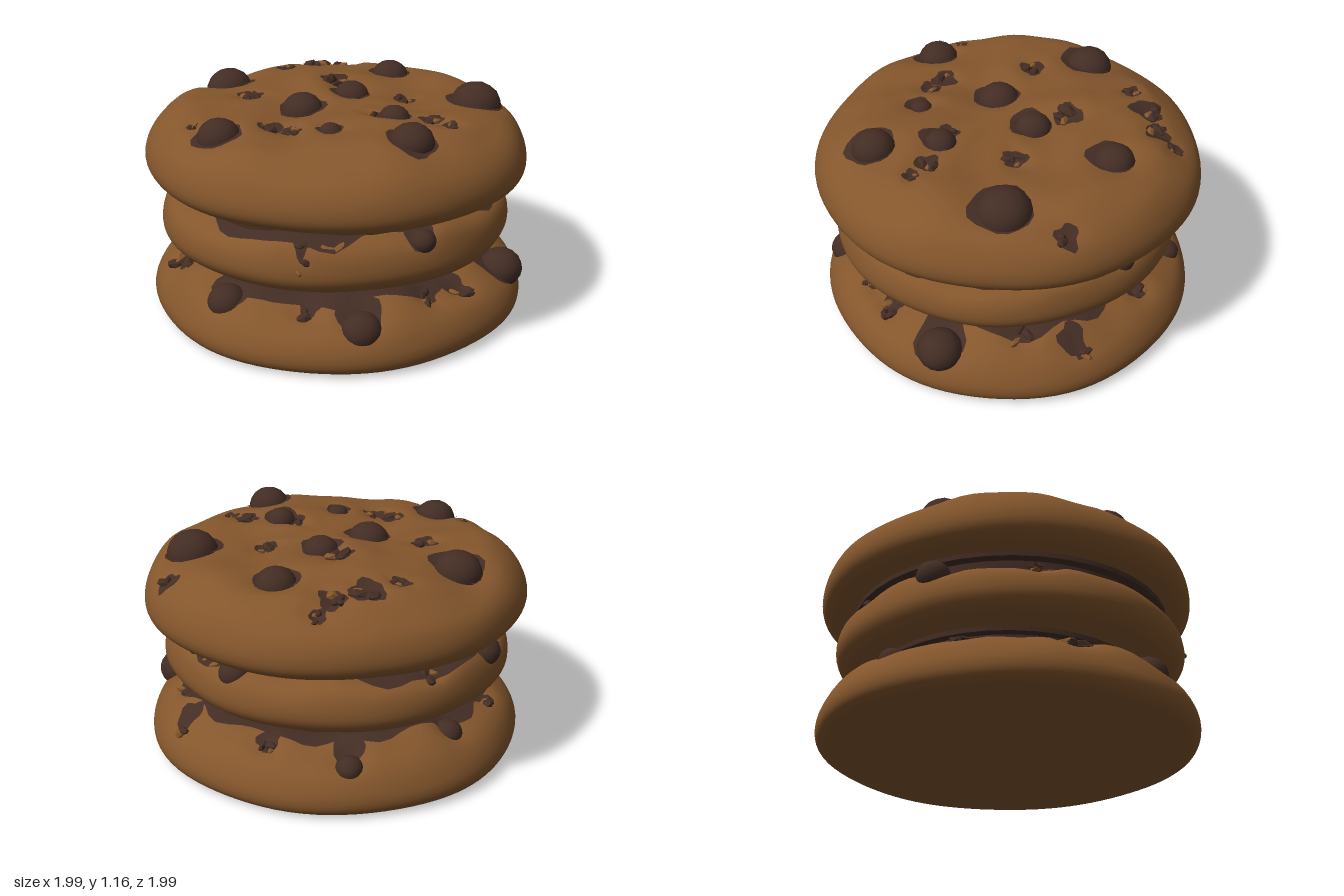
import * as THREE from 'three';
import { mergeVertices } from 'three/addons/utils/BufferGeometryUtils.js';

const dough = new THREE.MeshStandardMaterial({ color: 0x84562c });
dough.name = 'baked dough';
const chocolate = new THREE.MeshStandardMaterial({ color: 0x432d24 });
chocolate.name = 'dark chocolate';

function seeded(seed) {
  let s = seed;
  return () => ((s = (s * 16807) % 2147483647) / 2147483647);
}

function addMesh(parent, name, geometry, material) {
  const mesh = new THREE.Mesh(geometry, material);
  mesh.name = name;
  parent.add(mesh);
  return mesh;
}

// Round dough body: a turned profile with an uneven rim, a lumpy top and dents around the chips
function cookieBody(spec) {
  const curve = new THREE.SplineCurve(spec.profile.map(([r, y]) => new THREE.Vector2(r, y)));
  const points = curve.getPoints(52);
  points.forEach((p) => { p.x = Math.max(p.x, 0); p.y = Math.max(p.y, spec.bottom); });
  let g = new THREE.LatheGeometry(points, 88);
  g.deleteAttribute('uv');
  g.deleteAttribute('normal');
  g = mergeVertices(g, 1e-4);
  const p = g.attributes.position;
  const k = spec.phase;
  for (let i = 0; i < p.count; i++) {
    const x = p.getX(i), y = p.getY(i), z = p.getZ(i);
    const a = Math.atan2(x, z);
    const rim = 1 + 0.006 * Math.sin(3 * a + k) + 0.005 * Math.sin(7 * a + 2 * k);
    const up = THREE.MathUtils.smoothstep(y, spec.lumpStart, spec.lumpStart + 0.15);
    let dy = 0.014 * Math.sin(5.5 * x + 2.3 * z + k) + 0.014 * Math.sin(7 * z - 4 * x + 2 * k)
      + 0.01 * Math.sin(13 * x + 3 * k) * Math.sin(12 * z + k);
    for (const [cx, cz, r] of spec.chips.concat(spec.shards)) {
      const d2 = ((x - cx) ** 2 + (z - cz) ** 2) / (r * r);
      dy += 0.02 * Math.exp(-d2 / 5) - 0.05 * Math.exp(-d2 / 1.3);
    }
    p.setXYZ(i, x * rim, y + up * dy, z * rim + spec.shift);
  }
  g.computeVertexNormals();
  return g;
}

// Finds the top of a body under a point
function surfaceOf(body, fallback) {
  const ray = new THREE.Raycaster();
  const down = new THREE.Vector3(0, -1, 0);
  body.updateMatrixWorld(true);
  return (x, z) => {
    ray.set(new THREE.Vector3(x + 1e-4, 3, z + 2e-4), down);
    const hit = ray.intersectObject(body)[0];
    return hit ? hit.point.y : fallback;
  };
}

// Ragged chocolate sheet draped over the dough
function smear(height, cx, cz, r, ragged, seed, fine) {
  const g = new THREE.RingGeometry(0.001, 1, fine ? 80 : 18, fine ? 16 : 3);
  g.rotateX(-Math.PI / 2);
  const p = g.attributes.position;
  for (let i = 0; i < p.count; i++) {
    const a = Math.atan2(p.getZ(i), p.getX(i));
    const wave = 1 + ragged * (Math.sin(3 * a + seed) + 0.7 * Math.sin(5 * a + 2.3 * seed)
      + (fine ? 0.8 * Math.sin(11 * a + seed) + 0.4 * Math.sin(17 * a) : 0));
    const x = cx + p.getX(i) * r * wave, z = cz + p.getZ(i) * r * wave;
    p.setXYZ(i, x, height(x, z) + 0.008, z);
  }
  g.computeVertexNormals();
  return g;
}

// Broken angular piece
function shardGeometry(r, rand) {
  const g = new THREE.IcosahedronGeometry(r, 0);
  const p = g.attributes.position;
  const stretch = [0.8 + rand() * 0.7, 0.5 + rand() * 0.4, 0.5 + rand() * 0.4];
  const skew = rand() - 0.5;
  for (let i = 0; i < p.count; i++) {
    const x = p.getX(i), y = p.getY(i), z = p.getZ(i);
    p.setXYZ(i, x * stretch[0] + skew * y, y * stretch[1], z * stretch[2] + skew * x);
  }
  g.rotateY(rand() * 6.28);
  g.rotateZ((rand() - 0.5) * 0.8);
  g.computeVertexNormals();
  return g;
}

function disc(parent, name, r, y0, y1, shift) {
  const g = new THREE.CylinderGeometry(r, r, y1 - y0, 40);
  g.translate(0, (y0 + y1) / 2, shift);
  addMesh(parent, name, g, chocolate);
}

function buildCookie(spec, seed) {
  const group = new THREE.Group();
  group.name = spec.name;
  const rand = seeded(seed);
  const body = addMesh(group, 'cookieBody', cookieBody(spec), dough);
  const height = surfaceOf(body, spec.lumpStart);

  // Round chips, each in a melted patch
  spec.chips.forEach(([x, z, r, lift = spec.chipLift], i) => {
    const chip = addMesh(group, 'chocolateChip', new THREE.IcosahedronGeometry(r, 2), chocolate);
    chip.position.set(x, height(x, z) + r * lift, z);
    chip.scale.y = 0.92;
    addMesh(group, 'meltedPatch', smear(height, x * spec.patchPull + 0.01, z * spec.patchPull + 0.015,
      r * 1.12, 0.07, i + seed, false), chocolate);
  });

  // Broken chunks with a dough crumb beside them
  spec.shards.forEach(([x, z, r], i) => {
    addMesh(group, 'meltedPatch', smear(height, x * spec.patchPull, z * spec.patchPull,
      r, 0.16, i * 2 + seed, false), chocolate);
    for (let j = 0; j < 3; j++) {
      const a = rand() * 6.28, d = r * 0.55;
      const px = x + Math.cos(a) * d, pz = z + Math.sin(a) * d;
      const piece = addMesh(group, j < 2 ? 'chocolateChunk' : 'doughCrumb',
        shardGeometry(r * (j < 2 ? 0.55 : 0.45), rand), j < 2 ? chocolate : dough);
      piece.position.set(px, height(px, pz) + 0.006, pz);
    }
  });

  // Chocolate filling: ragged spread, a core, and a wider layer under the cookie above
  if (spec.filling) {
    const { core, spread, layer, y0, y1 } = spec.filling;
    addMesh(group, 'fillingSpread', smear(height, 0, spec.shift, spread, 0.035, seed, true), chocolate);
    disc(group, 'fillingCore', core, y0, y1 - 0.01, spec.shift);
    disc(group, 'fillingLayer', layer, y1 - 0.03, y1, spec.shift);
  }
  return group;
}

export function createModel() {
  const model = new THREE.Group();
  model.name = 'cookieStack';

  model.add(buildCookie({
    name: 'bottomCookie', bottom: 0, phase: 0.6, shift: 0.005, lumpStart: 0.14, chipLift: -0.15,
    patchPull: 0.94,
    profile: [[0, 0], [0.5, 0], [0.88, 0.004], [0.95, 0.015], [0.985, 0.06], [0.98, 0.13],
      [0.93, 0.21], [0.83, 0.275], [0.7, 0.315], [0.4, 0.33], [0, 0.33]],
    chips: [[0.0, 0.84, 0.1], [0.65, 0.59, 0.1], [0.81, -0.37, 0.115, 0.15], [-0.59, -0.63, 0.07],
      [-0.8, -0.1, 0.075]],
    shards: [[-0.45, 0.71, 0.09], [0.33, -0.85, 0.07], [0.82, 0.02, 0.07], [-0.74, 0.3, 0.08],
      [0.5, -0.62, 0.07], [-0.2, -0.8, 0.06], [0.42, 0.7, 0.06], [0.77, 0.2, 0.07]],
    filling: { core: 0.67, spread: 0.78, layer: 0.715, y0: 0.28, y1: 0.402 },
  }, 11));

  model.add(buildCookie({
    name: 'middleCookie', bottom: 0.395, phase: 2.1, shift: 0.025, lumpStart: 0.53, chipLift: -0.1,
    patchPull: 0.95,
    profile: [[0, 0.395], [0.5, 0.395], [0.8, 0.4], [0.87, 0.42], [0.91, 0.48], [0.905, 0.56],
      [0.87, 0.625], [0.8, 0.66], [0.7, 0.675], [0.4, 0.68], [0, 0.68]],
    chips: [[0.8, 0.32, 0.065], [-0.01, -0.79, 0.08], [-0.83, 0.16, 0.085, 0.1]],
    shards: [[0.45, 0.79, 0.05], [-0.6, 0.62, 0.07], [-0.78, -0.25, 0.06], [0.3, -0.76, 0.06]],
    filling: { core: 0.785, spread: 0.825, layer: 0.835, y0: 0.63, y1: 0.732 },
  }, 23));

  model.add(buildCookie({
    name: 'topCookie', bottom: 0.725, phase: 4.0, shift: 0, lumpStart: 0.9, chipLift: 0,
    patchPull: 1,
    profile: [[0, 0.725], [0.5, 0.725], [0.87, 0.728], [0.95, 0.745], [0.99, 0.8], [0.985, 0.88],
      [0.94, 0.96], [0.85, 1.02], [0.7, 1.065], [0.4, 1.075], [0, 1.07]],
    chips: [[-0.13, -0.61, 0.105], [0.51, -0.52, 0.135], [-0.03, -0.15, 0.095], [-0.69, 0.1, 0.125],
      [-0.09, 0.17, 0.11], [0.41, 0.05, 0.08], [0.67, 0.25, 0.11], [0.27, 0.37, 0.06],
      [-0.14, 0.72, 0.11]],
    shards: [[0.39, -0.81, 0.055], [-0.46, -0.6, 0.065], [-0.47, -0.71, 0.04], [-0.55, -0.45, 0.085],
      [-0.2, -0.23, 0.075], [0.22, -0.28, 0.06], [0.57, -0.04, 0.06], [0.68, -0.05, 0.04],
      [0.33, 0.08, 0.05], [-0.4, 0.24, 0.065], [0.0, 0.5, 0.065], [0.11, 0.49, 0.055],
      [-0.32, 0.73, 0.03], [-0.62, -0.28, 0.05]],
  }, 37));

  return model;
}
